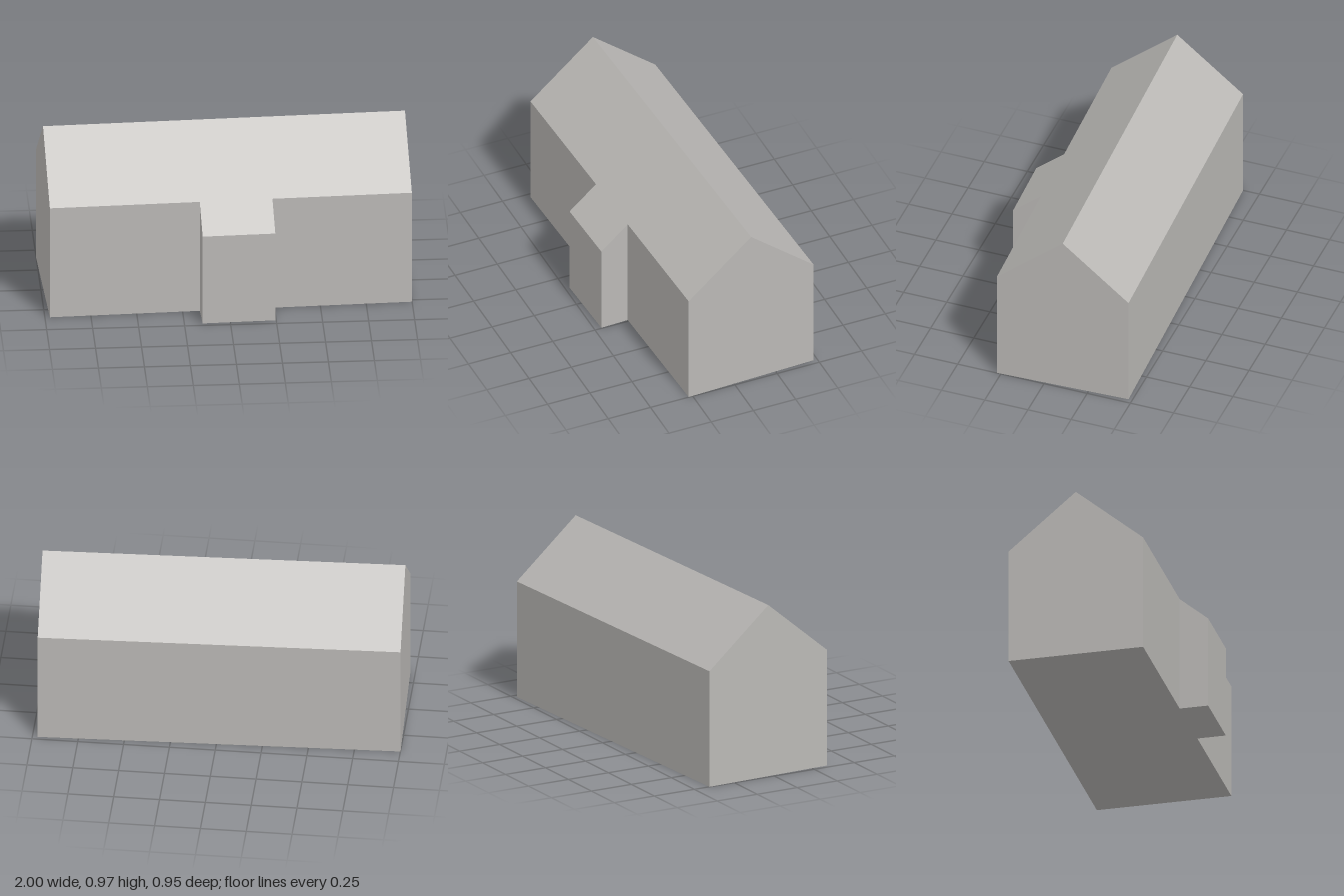
import * as THREE from 'three';

const LEFT = -0.985, RIGHT = 0.988;
const BACK = -0.442, RIDGE = -0.066, FRONT = 0.31, BAY = 0.469;
const BAY_LEFT = -0.168, BAY_RIGHT = 0.228;
const RIDGE_HEIGHT = 0.97, PITCH = 0.838;

// Both slopes fall evenly from the ridge; the front one runs on over the bay
const roofHeight = (z) => RIDGE_HEIGHT - PITCH * Math.abs(z - RIDGE);

// Plan outlines as [x, z], anticlockwise seen from above
const frontPlan = [
  [LEFT, RIDGE], [LEFT, FRONT], [BAY_LEFT, FRONT], [BAY_LEFT, BAY],
  [BAY_RIGHT, BAY], [BAY_RIGHT, FRONT], [RIGHT, FRONT], [RIGHT, RIDGE],
];
const backPlan = [[RIGHT, RIDGE], [RIGHT, BACK], [LEFT, BACK], [LEFT, RIDGE]];
const footprint = [...frontPlan, ...backPlan.slice(1, -1)];

// Fills a plan outline and lifts each corner to the height given by a rule
function planSurface(plan, height) {
  const shape = new THREE.Shape(plan.map(([x, z]) => new THREE.Vector2(x, -z)));
  const geometry = new THREE.ShapeGeometry(shape).rotateX(-Math.PI / 2);
  const p = geometry.attributes.position;
  for (let i = 0; i < p.count; i++) p.setY(i, height(p.getZ(i)));
  geometry.computeVertexNormals();
  return geometry;
}

// One upright panel per outline edge, reaching up to the roof
function wallSurface(plan) {
  const corners = [];
  plan.forEach(([ax, az], i) => {
    const [bx, bz] = plan[(i + 1) % plan.length];
    const a = [ax, 0, az], b = [bx, 0, bz];
    const aTop = [ax, roofHeight(az), az], bTop = [bx, roofHeight(bz), bz];
    corners.push(...a, ...b, ...bTop, ...a, ...bTop, ...aTop);
  });
  const geometry = new THREE.BufferGeometry();
  geometry.setAttribute('position', new THREE.Float32BufferAttribute(corners, 3));
  geometry.computeVertexNormals();
  return geometry;
}

export function createModel() {
  const grey = new THREE.MeshStandardMaterial({ color: 0xbab8b5 });
  grey.name = 'warm grey';

  const house = new THREE.Group();
  house.name = 'house';
  const add = (name, geometry) => {
    const mesh = new THREE.Mesh(geometry, grey);
    mesh.name = name;
    house.add(mesh);
  };

  add('walls', wallSurface(footprint));
  add('frontRoof', planSurface(frontPlan, roofHeight));
  add('backRoof', planSurface(backPlan, roofHeight));

  // Floor faces down, so its triangles are reversed
  const floor = planSurface(footprint, () => 0);
  floor.index.array.reverse();
  floor.computeVertexNormals();
  add('floor', floor);

  // The building stands at a slight angle
  house.rotation.y = 0.037;
  const model = new THREE.Group();
  model.name = 'building';
  model.add(house);
  return model;
}
